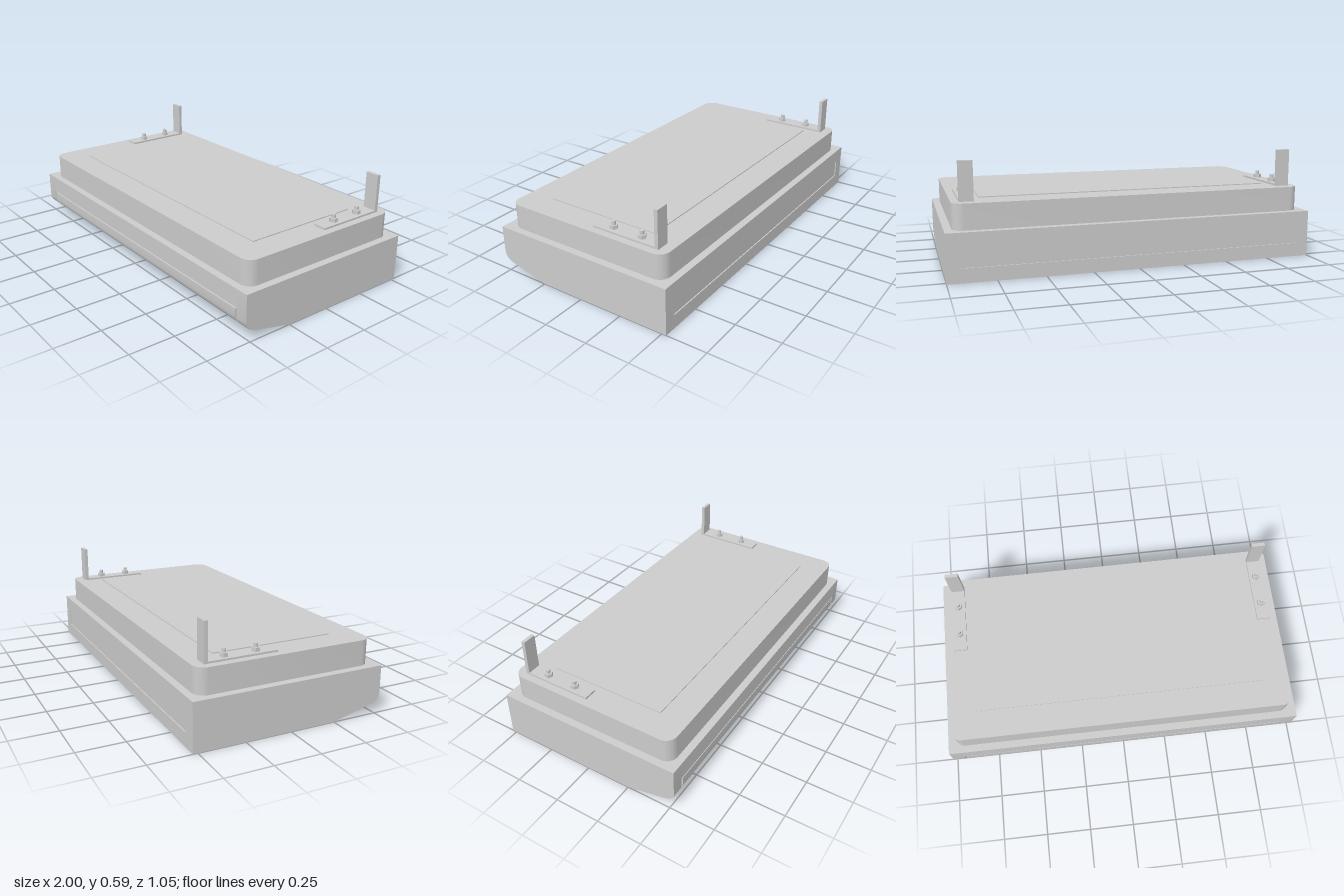
import * as THREE from 'three';
import { toCreasedNormals } from 'three/addons/utils/BufferGeometryUtils.js';

const grey = new THREE.MeshStandardMaterial({ color: 0xcccccc });

function add(parent, name, geometry, x = 0, y = 0, z = 0) {
  const mesh = new THREE.Mesh(geometry, grey);
  mesh.name = name;
  mesh.position.set(x, y, z);
  parent.add(mesh);
  return mesh;
}

// Extrude a (z, y) side profile along x, centred on x = 0
function extrudeAcross(shape, width) {
  const g = new THREE.ExtrudeGeometry(shape, { depth: width, bevelEnabled: false, curveSegments: 10 });
  g.translate(0, 0, -width / 2).rotateY(-Math.PI / 2);
  return toCreasedNormals(g, 0.5);
}

// Plain casing outline: box with a rounded front lip and a sloping underside
function endProfile() {
  const s = new THREE.Shape();
  s.moveTo(-0.525, 0);
  s.lineTo(0.25, 0);
  s.lineTo(0.47, 0.053);
  s.quadraticCurveTo(0.52, 0.066, 0.525, 0.105);
  s.lineTo(0.525, 0.255);
  s.lineTo(-0.525, 0.255);
  return s;
}

// Same outline with intake grooves below, a seat for the flap and a rear recess
function middleProfile() {
  const s = new THREE.Shape();
  s.moveTo(-0.525, 0);
  for (let i = 0; i < 6; i++) {
    const z = -0.49 + i * 0.045;
    s.lineTo(z, 0);
    s.lineTo(z + 0.004, 0.008);
    s.lineTo(z + 0.018, 0.008);
    s.lineTo(z + 0.022, 0);
  }
  s.lineTo(0.25, 0);
  s.lineTo(0.26, 0.0024);
  s.lineTo(0.26, 0.0145);
  s.lineTo(0.467, 0.065);
  s.quadraticCurveTo(0.51, 0.075, 0.513, 0.105);
  s.lineTo(0.513, 0.157);
  s.lineTo(0.525, 0.157);
  s.lineTo(0.525, 0.255);
  s.lineTo(-0.525, 0.255);
  s.lineTo(-0.525, 0.175);
  s.lineTo(-0.519, 0.175);
  s.lineTo(-0.519, 0.075);
  s.lineTo(-0.525, 0.075);
  return s;
}

// Thin curved air flap, flush with the casing
function flapProfile() {
  const s = new THREE.Shape();
  s.moveTo(0.268, 0.0043);
  s.lineTo(0.47, 0.053);
  s.quadraticCurveTo(0.52, 0.066, 0.525, 0.105);
  s.lineTo(0.525, 0.15);
  s.lineTo(0.513, 0.15);
  s.lineTo(0.513, 0.105);
  s.quadraticCurveTo(0.51, 0.075, 0.467, 0.065);
  s.lineTo(0.268, 0.0164);
  return s;
}

function roundedSlab(w, d, h, r) {
  const x = w / 2, y = d / 2;
  const s = new THREE.Shape();
  s.absarc(x - r, y - r, r, 0, Math.PI / 2);
  s.absarc(-x + r, y - r, r, Math.PI / 2, Math.PI);
  s.absarc(-x + r, -y + r, r, Math.PI, Math.PI * 1.5);
  s.absarc(x - r, -y + r, r, Math.PI * 1.5, Math.PI * 2);
  const g = new THREE.ExtrudeGeometry(s, { depth: h, bevelEnabled: false, curveSegments: 10 });
  return toCreasedNormals(g.rotateX(-Math.PI / 2), 0.5);
}

// L-shaped hanging bracket with two bolts
function makeBracket() {
  const b = new THREE.Group();
  add(b, 'bracketFoot', new THREE.BoxGeometry(0.075, 0.01, 0.39), 0, 0.395, -0.235);
  add(b, 'bracketUpright', new THREE.BoxGeometry(0.075, 0.195, 0.02), 0, 0.4975, -0.42);
  for (const z of [-0.14, -0.31]) {
    const nut = new THREE.CylinderGeometry(0.022, 0.022, 0.02, 6).toNonIndexed();
    nut.computeVertexNormals();
    add(b, 'nut', nut, 0, 0.41, z);
    add(b, 'stud', new THREE.CylinderGeometry(0.011, 0.011, 0.04, 20), 0, 0.42, z);
  }
  return b;
}

export function createModel() {
  const model = new THREE.Group();
  model.name = 'ceilingAirUnit';

  // Lower casing: detailed middle between two plain ends
  const middle = 1.86, end = 1 - middle / 2;
  add(model, 'casingMiddle', extrudeAcross(middleProfile(), middle));
  for (const side of [-1, 1]) {
    add(model, 'casingEnd', extrudeAcross(endProfile(), end), side * (1 - end / 2));
    // Close the rear recess off before the plain ends
    const bracket = makeBracket();
    bracket.name = side > 0 ? 'leftBracket' : 'rightBracket';
    bracket.position.x = side * 0.883;
    model.add(bracket);
  }
  add(model, 'airFlap', extrudeAcross(flapProfile(), 1.84));

  // Upper housing and its raised cover
  add(model, 'upperHousing', roundedSlab(1.92, 0.97, 0.137, 0.06), 0, 0.253, 0);
  add(model, 'topCover', new THREE.BoxGeometry(1.62, 0.008, 0.66), 0, 0.391, 0);

  // Indicator studs on the sloping underside
  const slope = Math.atan2(0.053, 0.22);
  for (const z of [0.33, 0.375, 0.42]) {
    const dot = add(model, 'indicator', new THREE.CylinderGeometry(0.006, 0.006, 0.006, 16),
      0.957, (z - 0.25) * 0.241, z);
    dot.rotation.x = -slope;
  }
  return model;
}
